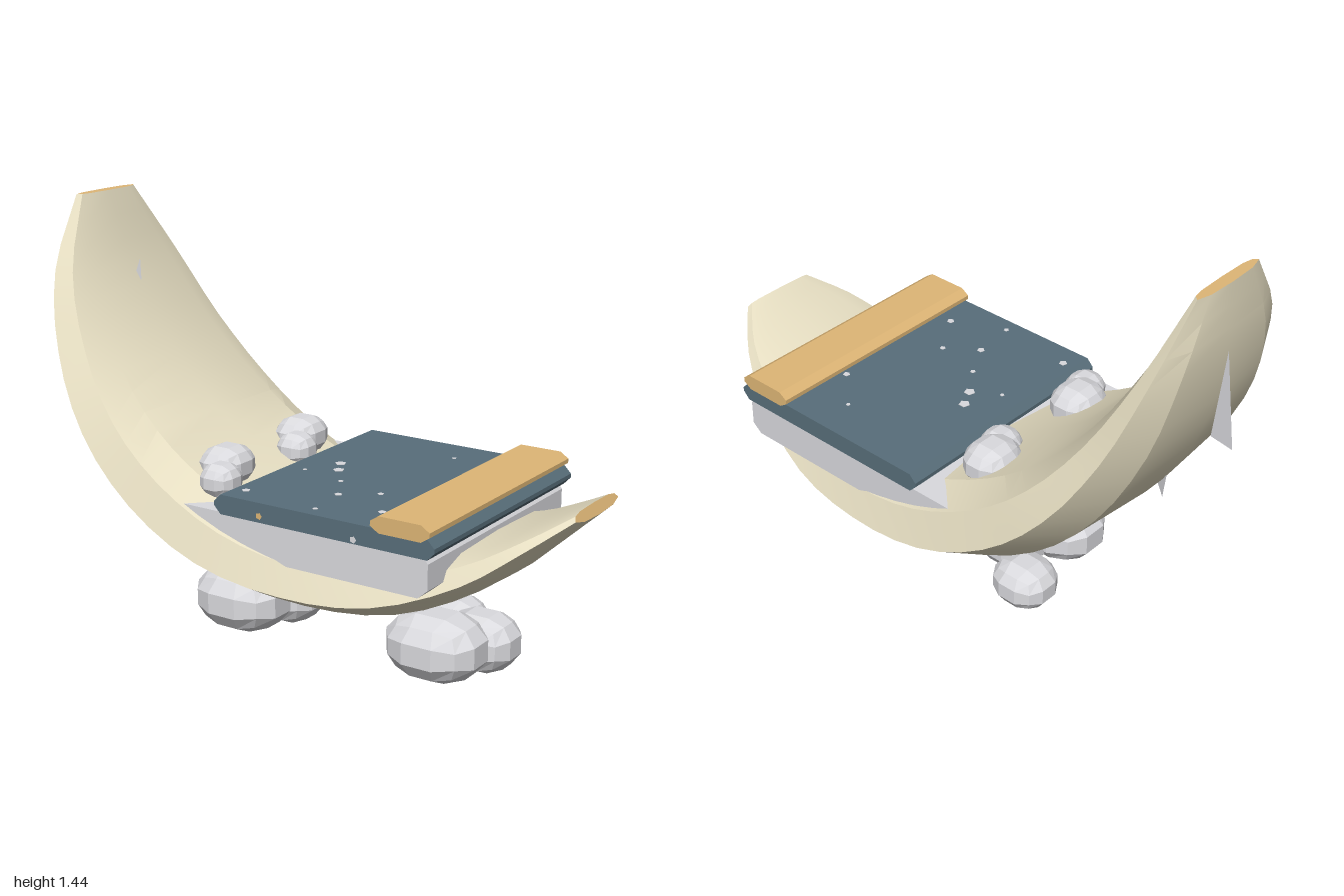
import * as THREE from 'three';
import { toCreasedNormals } from 'three/addons/utils/BufferGeometryUtils.js';

export function createModel() {
  const root = new THREE.Group();
  root.name = 'moonBed';
  const material = (name, color, side = THREE.FrontSide) => {
    const m = new THREE.MeshStandardMaterial({ color, side });
    m.name = name;
    return m;
  };
  const cream = material('cream', 0xe6dec2);
  const gold = material('gold', 0xdeb676);
  const blue = material('slateBlue', 0x586e7a);
  const grey = material('cloudGrey', 0xdadade, THREE.DoubleSide);

  const add = (name, geometry, mat, parent = root) => {
    const mesh = new THREE.Mesh(geometry, mat);
    mesh.name = name;
    parent.add(mesh);
    return mesh;
  };

  // Crescent hull: [outer x, outer y, inner x, inner y, half width] per station
  const stations = [
    [-0.965, 1.45, -0.925, 1.45, 0.15], [-0.97, 1.22, -0.83, 1.2, 0.31],
    [-0.92, 0.95, -0.69, 0.965, 0.405], [-0.78, 0.66, -0.52, 0.775, 0.47],
    [-0.55, 0.41, -0.33, 0.635, 0.495], [-0.25, 0.25, -0.09, 0.52, 0.5],
    [0.12, 0.2, 0.15, 0.46, 0.482], [0.45, 0.235, 0.42, 0.445, 0.435],
    [0.72, 0.36, 0.69, 0.505, 0.347], [0.88, 0.5, 0.86, 0.58, 0.262],
    [1.0, 0.61, 0.98, 0.645, 0.15],
  ];
  const curve = (pick) => new THREE.CatmullRomCurve3(stations.map((s) => new THREE.Vector3(...pick(s))));
  const outer = curve((s) => [s[0], s[1], s[4]]);
  const inner = curve((s) => [s[2], s[3], s[4]]);
  // Section: [share of half width, share of thickness from outer to inner]
  const half = [[0.67, 0.08], [1, 0.4], [0.91, 0.78], [0.67, 0.95]];
  const section = [[0, 0], ...half, [0, 1], ...half.map(([w, f]) => [-w, f]).reverse()];
  const steps = 30, n = section.length;
  const ringAt = (i) => {
    const o = outer.getPoint(i / steps), q = inner.getPoint(i / steps);
    return section.map(([w, f]) => [o.x + (q.x - o.x) * f, o.y + (q.y - o.y) * f, o.z * w]);
  };
  const fromMesh = (points, index) => {
    const g = new THREE.BufferGeometry();
    g.setAttribute('position', new THREE.Float32BufferAttribute(points.flat(), 3));
    g.setIndex(index);
    return g;
  };
  const points = [], index = [];
  for (let i = 0; i <= steps; i++) {
    points.push(...ringAt(i));
    if (i === steps) break;
    for (let j = 0; j < n; j++) {
      const a = i * n + j, b = i * n + ((j + 1) % n), c = a + n, d = b + n;
      index.push(a, c, b, b, c, d);
    }
  }
  add('crescentHull', toCreasedNormals(fromMesh(points, index), 0.35), cream);

  // Gold caps on both crescent tips
  for (const [name, i] of [['headTipCap', 0], ['footTipCap', steps]]) {
    const fan = [];
    for (let j = 1; j < n - 1; j++) fan.push(...(i ? [0, j + 1, j] : [0, j, j + 1]));
    const cap = fromMesh(ringAt(i), fan);
    cap.computeVertexNormals();
    add(name, cap, gold);
  }

  // Slabs: side profile extruded across the bed
  const slab = (name, profile, halfWidth, mat) => {
    const shape = new THREE.Shape(profile.map(([x, y]) => new THREE.Vector2(x, y)));
    const g = new THREE.ExtrudeGeometry(shape, { depth: halfWidth * 2, bevelEnabled: false });
    g.translate(0, 0, -halfWidth);
    add(name, g, mat);
  };
  const chamfered = (x0, x1, y0, y1, cx, cy) => [
    [x0 + cx, y0], [x1 - cx, y0], [x1, y0 + cy], [x1, y1 - cy],
    [x1 - cx, y1], [x0 + cx, y1], [x0, y1 - cy], [x0, y0 + cy],
  ];
  slab('bedBase', [[-0.28, 0.53], [-0.18, 0.395], [0.62, 0.395], [0.655, 0.425], [0.655, 0.51], [0.64, 0.53]], 0.443, grey);
  slab('mattress', chamfered(-0.138, 0.682, 0.526, 0.592, 0.025, 0.026), 0.452, blue);
  slab('foldedBlanket', chamfered(0.458, 0.668, 0.58, 0.635, 0.03, 0.02), 0.457, gold);

  // Faceted puffs: a coarse cube grid pushed out onto a sphere
  const puffGeometry = (() => {
    const g = new THREE.BoxGeometry(2, 2, 2, 3, 3, 3);
    const p = g.attributes.position, v = new THREE.Vector3();
    for (let i = 0; i < p.count; i++) {
      v.fromBufferAttribute(p, i).setLength(1.06);
      p.setXYZ(i, v.x, v.y, v.z);
    }
    const flat = g.toNonIndexed();
    flat.computeVertexNormals();
    return flat;
  })();
  const puff = (parent, position, scale) => {
    const mesh = add('puff', puffGeometry, grey, parent);
    mesh.position.set(...position);
    mesh.scale.set(...scale);
  };
  const group = (name, x, y, z) => {
    const g = new THREE.Group();
    g.name = name;
    g.position.set(x, y, z);
    root.add(g);
    return g;
  };

  // Two clouds carrying the bed
  for (const [name, x] of [['headCloud', -0.25], ['footCloud', 0.52]]) {
    const cloud = group(name, x, 0, 0);
    puff(cloud, [0, 0.12, 0.148], [0.17, 0.114, 0.139]);
    puff(cloud, [0.082, 0.102, -0.002], [0.13, 0.1, 0.117]);
    puff(cloud, [-0.095, 0.088, -0.143], [0.11, 0.084, 0.102]);
  }

  // Cloud pillows
  for (const [name, z] of [['rightPillow', -0.228], ['leftPillow', 0.208]]) {
    const pillow = group(name, -0.268, 0.605, z);
    puff(pillow, [0, 0, 0], [0.085, 0.07, 0.1]);
    puff(pillow, [0.05, -0.02, 0.1], [0.067, 0.06, 0.07]);
  }

  // Thin star points showing through the headboard
  const shards = {
    upperStarPoint: [[-0.972, 1.22, 0], [-0.998, 0.86, 0.03], [-0.975, 0.95, -0.06]],
    lowerStarPoint: [[-0.8, 0.615, -0.03], [-0.73, 0.62, 0.03], [-0.795, 0.72, 0]],
    innerStarPoint: [[-0.798, 1.22, 0], [-0.82, 1.16, 0.003], [-0.797, 1.14, -0.003]],
  };
  for (const [name, corners] of Object.entries(shards)) {
    const g = fromMesh(corners, [0, 1, 2]);
    g.computeVertexNormals();
    add(name, g, grey);
  }

  // Small flecks on the mattress: x, z, radius
  const flecks = [
    [0.02, -0.045, 0.02], [0.055, 0.02, 0.02], [-0.04, 0.08, 0.008], [0.13, 0.12, 0.01], [0.2, 0.24, 0.014],
    [0.31, 0.16, 0.011], [0.41, 0.31, 0.014], [0.22, 0.4, 0.01], [-0.07, 0.37, 0.015], [0.445, -0.185, 0.013], [0.31, -0.31, 0.008],
  ];
  for (const [x, z, r] of flecks) {
    add('fleck', new THREE.CylinderGeometry(r, r, 0.004, 5), grey).position.set(x, 0.5915, z);
  }
  for (const [x, y, mat] of [[0.04, 0.548, gold], [0.395, 0.54, grey]]) {
    add('sideFleck', new THREE.CircleGeometry(0.012, 5), mat).position.set(x, y, 0.4535);
  }
  return root;
}
